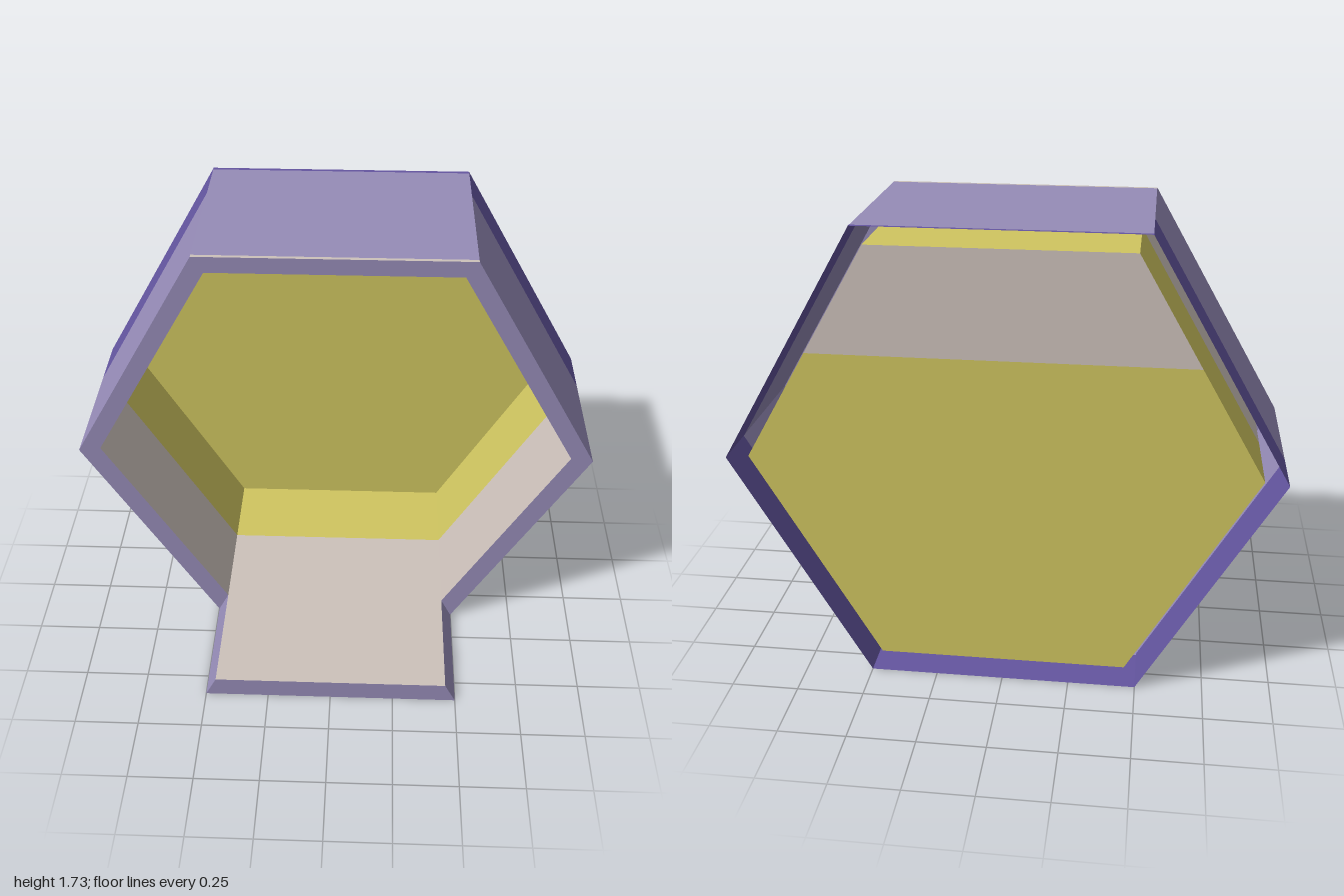
import * as THREE from 'three';

const BACK = -0.59, FRONT = 0.12, LIP = 0.59, LINING_SPLIT = -0.26;

function material(name, color) {
  const m = new THREE.MeshStandardMaterial({ color, side: THREE.DoubleSide });
  m.name = name;
  return m;
}

// Corners of a hexagon with points at left and right, counterclockwise from +x
function hexagon(radius, cy) {
  return Array.from({ length: 6 }, (_, k) => {
    const a = (k * Math.PI) / 3;
    return new THREE.Vector2(radius * Math.cos(a), cy + radius * Math.sin(a));
  });
}

export function createModel() {
  const group = new THREE.Group();
  const lilac = material('lilac', 0x968cb8);
  const violet = material('violet', 0x6455a0);
  const yellow = material('yellow', 0xd0c660);
  const beige = material('beige', 0xcdc2bb);

  const add = (name, geometry, mat) => {
    const mesh = new THREE.Mesh(geometry, mat);
    mesh.name = name;
    group.add(mesh);
  };

  // Flat face with four corners, counterclockwise as seen from its front
  const face = (name, mat, corners) => {
    const g = new THREE.BufferGeometry();
    g.setAttribute('position', new THREE.Float32BufferAttribute(corners.flat(), 3));
    g.setIndex([0, 1, 2, 0, 2, 3]);
    g.computeVertexNormals();
    add(name, g, mat);
  };

  // Wall over the edge a-b, running from z0 forward to z1
  const wall = (name, mat, a, b, z0, z1) =>
    face(name, mat, [[a.x, a.y, z0], [b.x, b.y, z0], [b.x, b.y, z1], [a.x, a.y, z1]]);

  const outer = hexagon(1, Math.sqrt(3) / 2);
  const inner = hexagon(0.915, 0.8775);
  const BOTTOM = 4, TOP = 1;
  // Where violet meets lilac on each outer wall
  const outerSplit = [-0.385, -0.575, -0.37, -0.37, -0.38, -0.395];

  for (let k = 0; k < 6; k++) {
    const n = (k + 1) % 6;
    const end = k === BOTTOM ? LIP : FRONT;
    // Outer shell; the top has a narrow beige front edge
    const lilacEnd = k === TOP ? FRONT - 0.015 : end;
    wall('outerWallBack', violet, outer[k], outer[n], BACK, outerSplit[k]);
    wall('outerWallFront', lilac, outer[k], outer[n], outerSplit[k], lilacEnd);
    if (k === TOP) wall('topFrontEdge', beige, outer[k], outer[n], lilacEnd, FRONT);
    // Inner lining; the floor runs on over the lip
    wall('liningBack', yellow, inner[n], inner[k], BACK, LINING_SPLIT);
    wall('liningFront', beige, inner[n], inner[k], LINING_SPLIT, end);
    // Front rim joining shell and lining
    face(k === BOTTOM ? 'lipFront' : 'frontRim', lilac,
      [outer[k], outer[n], inner[n], inner[k]].map((p) => [p.x, p.y, end]));
  }

  // Slanted sides of the lip
  wall('lipLeftSide', lilac, outer[5], inner[5], FRONT, LIP);
  wall('lipRightSide', lilac, inner[4], outer[4], FRONT, LIP);

  // Back panel, beige above the split line
  const splitY = 1.28;
  const halfWidth = 0.915 - (splitY - 0.8775) / Math.sqrt(3);
  const splitRight = new THREE.Vector2(halfWidth, splitY);
  const splitLeft = new THREE.Vector2(-halfWidth, splitY);
  const panel = (name, mat, points) => {
    const g = new THREE.ShapeGeometry(new THREE.Shape(points));
    g.translate(0, 0, BACK);
    add(name, g, mat);
  };
  panel('backPanelUpper', beige, [splitRight, inner[1], inner[2], splitLeft]);
  panel('backPanelLower', yellow, [inner[0], splitRight, splitLeft, inner[3], inner[4], inner[5]]);

  return group;
}
